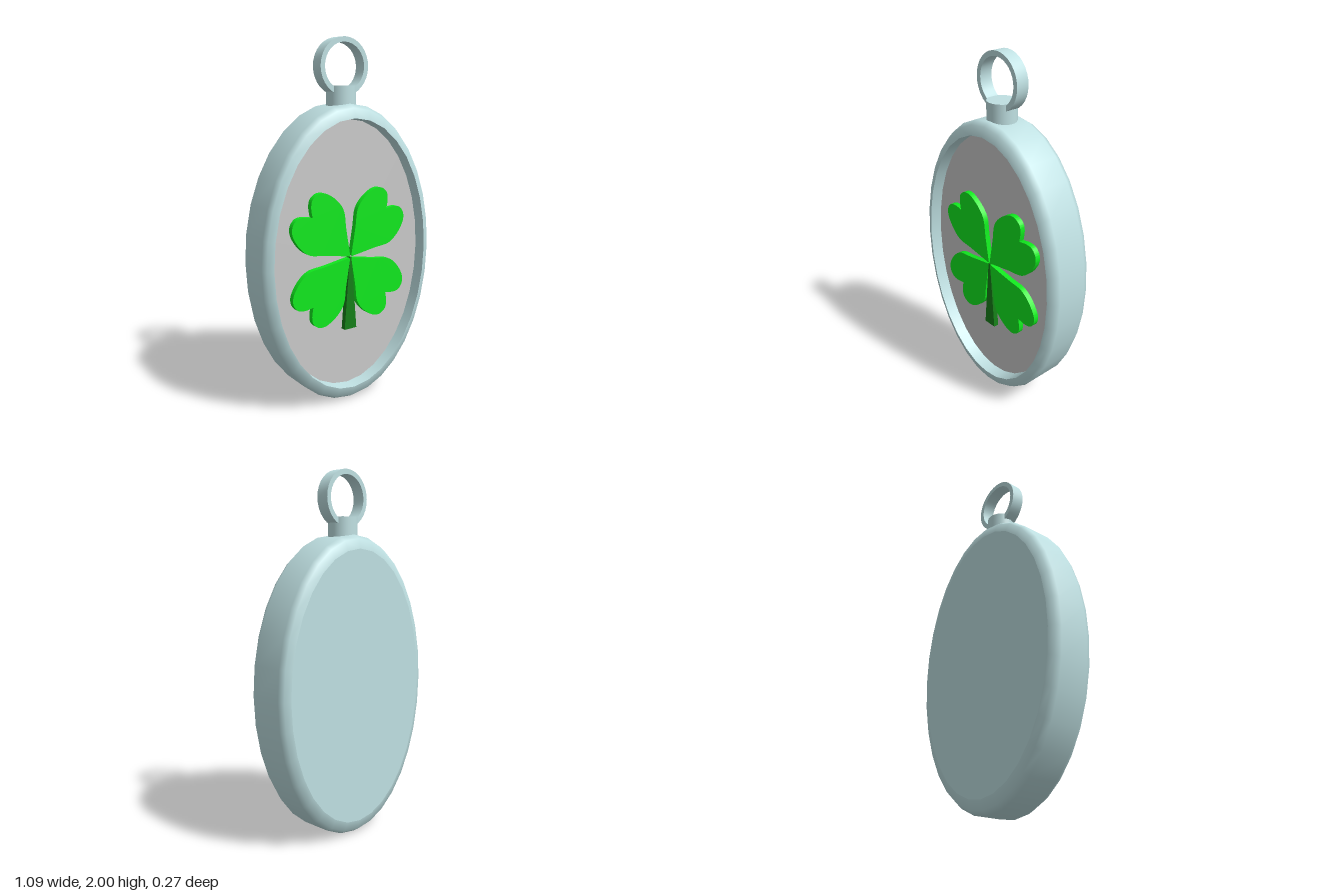
import * as THREE from 'three';
import { toCreasedNormals } from 'three/addons/utils/BufferGeometryUtils.js';

const SEGMENTS = 32;
const CENTER_Y = 0.829;
const OVAL = 0.827 / 0.547; // height to width of the case

const blueMetal = new THREE.MeshStandardMaterial({ color: 0xbfe0e2 });
const grey = new THREE.MeshStandardMaterial({ color: 0xcccccc });
const leafGreen = new THREE.MeshStandardMaterial({ color: 0x10ea1e });
const stalkGreen = new THREE.MeshStandardMaterial({ color: 0x157f18 });

const vectors = (points) => points.map(([x, y]) => new THREE.Vector2(x, y));

function addMesh(parent, name, geometry, material) {
  const mesh = new THREE.Mesh(geometry, material);
  mesh.name = name;
  parent.add(mesh);
  return mesh;
}

// Profile of [radius, z] turned around the z axis
function turned(profile, stretch = 1) {
  return new THREE.LatheGeometry(vectors(profile), SEGMENTS)
    .rotateX(Math.PI / 2)
    .scale(1, stretch, 1);
}

function extruded(shape, depth) {
  const geometry = new THREE.ExtrudeGeometry(shape, { depth, bevelEnabled: false, curveSegments: 10 });
  return toCreasedNormals(geometry, 0.6);
}

// Heart-shaped leaf, mirrored about its diagonal
function leafShape() {
  const half = [[0.03, 0.16], [0.045, 0.26], [0.09, 0.322], [0.155, 0.364],
    [0.205, 0.368], [0.243, 0.342], [0.253, 0.3]];
  const mirrored = half.map(([x, y]) => [y, x]).reverse();
  const shape = new THREE.Shape();
  shape.moveTo(0.004, 0.01);
  shape.splineThru(vectors([...half, [0.245, 0.245]]));
  shape.splineThru(vectors([...mirrored, [0.01, 0.004]]));
  shape.closePath();
  return shape;
}

export function createModel() {
  const model = new THREE.Group();
  model.name = 'pendant';

  // Oval case: flat back, rounded rim, recessed front
  const body = new THREE.Group();
  body.name = 'case';
  body.position.y = CENTER_Y;
  model.add(body);
  addMesh(body, 'backPlate', turned([[0, -0.133], [0.498, -0.133]], OVAL), blueMetal);
  addMesh(body, 'rim', turned([
    [0.498, -0.133], [0.533, -0.12], [0.547, -0.087],
    [0.547, 0.087], [0.533, 0.12], [0.498, 0.133],
  ], OVAL), blueMetal);
  addMesh(body, 'recessWall', turned([[0.498, 0.133], [0.494, 0.065]], OVAL), blueMetal);
  addMesh(body, 'facePlate', turned([[0.494, 0.065], [0, 0.065]], OVAL), grey);

  // Four-leaf clover on the face
  const clover = new THREE.Group();
  clover.name = 'clover';
  clover.position.set(0, 0.828, 0.06);
  model.add(clover);
  const leaf = extruded(leafShape(), 0.035);
  for (let i = 0; i < 4; i++) {
    addMesh(clover, `leaf${i + 1}`, leaf, leafGreen).rotation.z = i * Math.PI / 2;
  }
  const stalk = new THREE.Shape(vectors([[-0.04, -0.415], [0.04, -0.415], [0.006, 0], [-0.006, 0]]));
  addMesh(clover, 'stalk', extruded(stalk, 0.035), stalkGreen);

  // Post and hanging ring
  const post = addMesh(model, 'post', new THREE.CylinderGeometry(0.08, 0.08, 0.15, SEGMENTS), blueMetal);
  post.position.y = 1.675;
  const band = [[0.125, -0.037], [0.152, -0.037], [0.152, 0.037], [0.125, 0.037], [0.125, -0.037]];
  const ring = addMesh(model, 'hangingRing', toCreasedNormals(turned(band), 0.6), blueMetal);
  ring.position.y = 1.848;

  return model;
}
